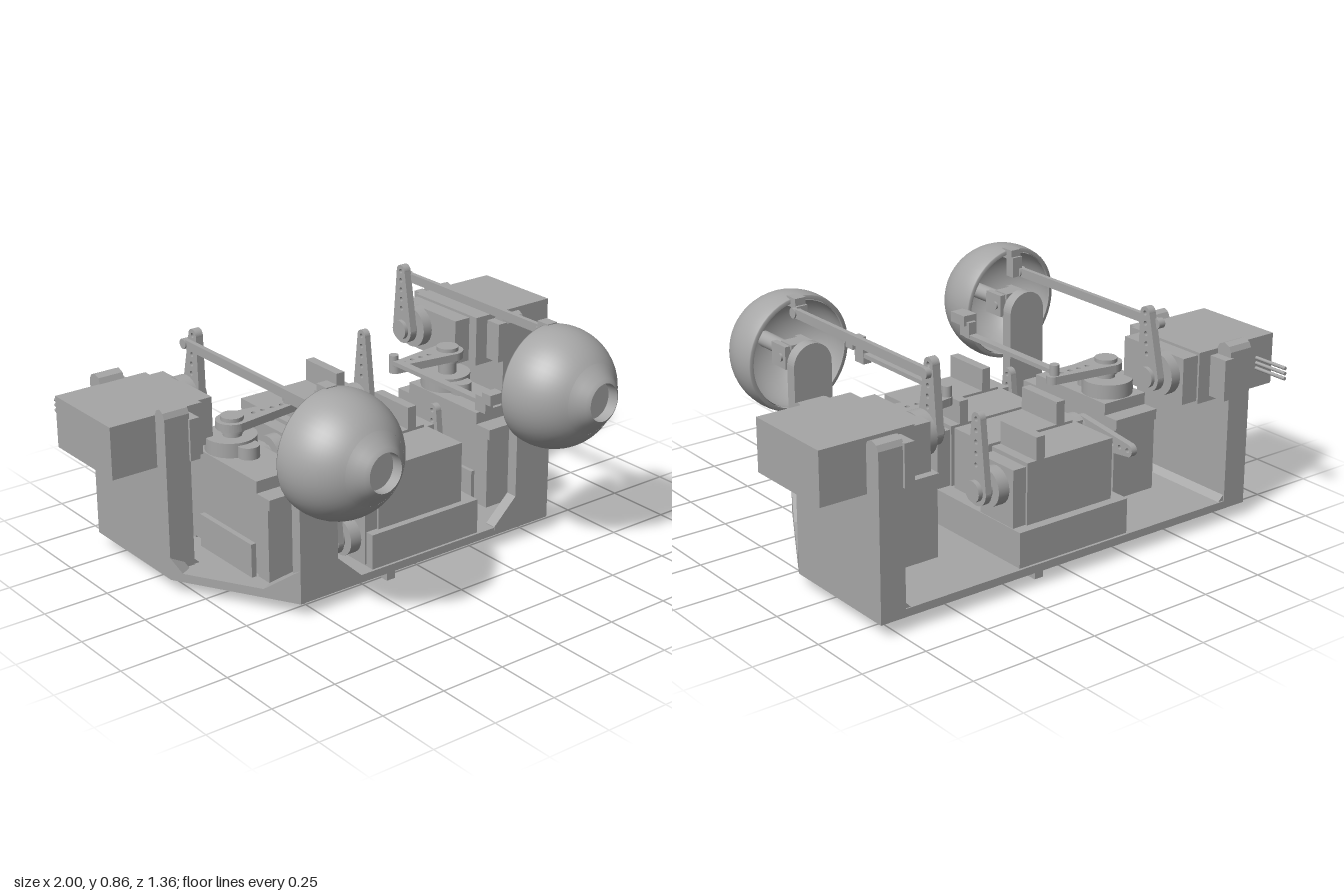
import * as THREE from 'three';

const grey = new THREE.MeshStandardMaterial({ color: 0xa6a6a6, side: THREE.DoubleSide });
grey.name = 'grey plastic';

export function createModel() {
  const root = new THREE.Group();
  root.name = 'eyeMechanism';

  const add = (name, geo, parent = root) => {
    const m = new THREE.Mesh(geo, grey);
    m.name = name;
    parent.add(m);
    return m;
  };
  // box given by its min and max corners
  const box = (name, x0, x1, y0, y1, z0, z1, parent) => {
    const m = add(name, new THREE.BoxGeometry(Math.abs(x1 - x0), y1 - y0, z1 - z0), parent);
    m.position.set((x0 + x1) / 2, (y0 + y1) / 2, (z0 + z1) / 2);
    return m;
  };
  // cylinder between two points
  const rod = (name, a, b, r, parent, sides = 24) => {
    const p = new THREE.Vector3(...a), q = new THREE.Vector3(...b);
    const m = add(name, new THREE.CylinderGeometry(r, r, p.distanceTo(q), sides), parent);
    m.position.copy(p).add(q).multiplyScalar(0.5);
    m.quaternion.setFromUnitVectors(new THREE.Vector3(0, 1, 0), q.sub(p).normalize());
    return m;
  };
  const poly = (pts) => new THREE.Shape(pts.map(([x, y]) => new THREE.Vector2(x, y)));
  // extrusion centred on its depth
  const extrude = (shape, depth) =>
    new THREE.ExtrudeGeometry(shape, { depth, bevelEnabled: false, curveSegments: 16 }).translate(0, 0, -depth / 2);

  // tapered servo horn: pivot at origin, tip along +y, thickness along z
  const horn = (name, length, r1, r2, depth = 0.03) => {
    const s = new THREE.Shape();
    s.absarc(0, 0, r1, Math.PI, Math.PI * 2);
    s.absarc(0, length, r2, 0, Math.PI);
    s.closePath();
    for (let i = 0; i < 5; i++) {
      const h = new THREE.Path();
      h.absarc(0, length * (0.36 + i * 0.16), 0.009, 0, Math.PI * 2, true);
      s.holes.push(h);
    }
    const g = new THREE.Group();
    g.name = name;
    add('hornPlate', extrude(s, depth), g);
    rod('hornHub', [0, 0, -0.03], [0, 0, 0.03], r1 * 0.7, g);
    root.add(g);
    return g;
  };

  // floor plate
  const floor = extrude(poly([[-0.82, 0.6], [0.82, 0.6], [0.82, 0.11], [0.57, -0.32], [-0.57, -0.32], [-0.82, 0.11]]), 0.03);
  add('floorPlate', floor.rotateX(-Math.PI / 2)).position.y = 0.067;

  for (const s of [-1, 1]) {
    const dy = s > 0 ? 0.03 : 0; // the two sides sit at slightly different heights
    // side wall with a notch between two rounded posts
    const wall = poly([[-0.6, 0.07], [-0.585, 0.053], [-0.11, 0.053], [-0.11, 0.66], [-0.12, 0.68], [-0.14, 0.69],
      [-0.16, 0.68], [-0.17, 0.66], [-0.17, 0.5], [-0.53, 0.5], [-0.53, 0.66], [-0.54, 0.68], [-0.565, 0.69], [-0.59, 0.68], [-0.6, 0.66]]);
    add('sideWall', extrude(wall, 0.1).rotateY(-Math.PI / 2)).position.x = s * 0.77;
    const fillet = poly([[0, 0.07], [0.05, 0.07], [0.05, 0.14], [0.035, 0.105]]);
    const f = add('wallFillet', extrude(fillet, 0.48));
    f.position.set(s * 0.685, 0, -0.355);
    f.scale.x = s;

    // low lip along the slanted edge
    const lip = add('slantLip', extrude(poly([[0, 0.055], [0.5, 0.055], [0.5, 0.14], [0.45, 0.085], [0.14, 0.085], [0, 0.18]]), 0.05)
      .translate(0, 0, -s * 0.025));
    lip.position.set(s * 0.57, 0, 0.32);
    lip.rotation.y = Math.atan2(0.43, s * 0.25);

    // eye post with flared foot
    const post = new THREE.Shape();
    post.moveTo(-0.08, 0.055);
    post.lineTo(0.18, 0.055);
    post.lineTo(0.18, 0.085);
    post.lineTo(0.08, 0.18);
    post.absarc(0, 0.63, 0.08, 0, Math.PI);
    post.closePath();
    const p = add('eyePost', extrude(post, 0.045));
    p.position.set(s * 0.49, 0, 0.298);
    p.scale.x = -s;

    // eye: hollow shell, bulged front and recessed pupil
    const eye = new THREE.Group();
    eye.name = 'eye';
    eye.position.set(s > 0 ? 0.477 : -0.495, 0.637, 0.435);
    eye.rotation.set(-0.03, 0.07, 0);
    root.add(eye);
    const outer = [[0.205, -0.05], [0.219, -0.05]];
    for (let i = 0; i <= 14; i++) {
      const a = -0.2 + i * (0.96 + 0.2) / 14;
      outer.push([0.225 * Math.cos(a), 0.225 * Math.sin(a)]);
    }
    const lathe = (name, pts) =>
      add(name, new THREE.LatheGeometry(pts.map(([x, y]) => new THREE.Vector2(x, y)), 48).rotateX(Math.PI / 2), eye);
    lathe('eyeShell', outer);
    lathe('iris', [[0.129, 0.184], [0.105, 0.205], [0.085, 0.227], [0.07, 0.237]]);
    lathe('pupilRim', [[0.07, 0.237], [0.07, 0.195]]);
    lathe('pupil', [[0.07, 0.195], [0, 0.195]]);
    const inner = [];
    for (let i = 0; i <= 14; i++) {
      const a = -0.24 + i * (Math.PI / 2 + 0.24) / 14;
      inner.push([0.208 * Math.cos(a), 0.192 * Math.sin(a)]);
    }
    lathe('eyeInside', inner);

    // universal joint holding the eye
    const cx = s * 0.49;
    box('jointStem', cx - 0.03, cx + 0.03, 0.605, 0.67, 0.31, 0.38);
    for (const k of [-1, 1]) {
      box('jointFork', cx + k * 0.05 - 0.012, cx + k * 0.05 + 0.012, 0.6, 0.685, 0.36, 0.45);
      box('jointYoke', cx - 0.04, cx + 0.04, 0.64 + k * 0.04 - 0.01, 0.64 + k * 0.04 + 0.01, 0.35, 0.42);
    }
    rod('jointPin', [cx - 0.07, 0.64, 0.39], [cx + 0.07, 0.64, 0.39], 0.015);
    rod('eyeStem', [cx, 0.64, 0.38], [cx, 0.64, 0.6], 0.03);

    // lugs on the back of the eye
    const ix = s > 0 ? 0.235 : -0.25;
    box('topLug', cx - 0.022, cx + 0.022, 0.825, 0.862, 0.345, 0.4);
    box('sideLug', ix - 0.03, ix + 0.03, 0.615, 0.655, s > 0 ? 0.355 : 0.32, 0.4);
    box('sideClevis', ix - 0.018, ix + 0.018, 0.57, 0.63, 0.305, 0.36);

    // outer tilt servo
    const y0 = 0.465 + dy, y1 = 0.66 + dy;
    box('tiltServoBody', s * 0.63, s * 1, y0, y1, -0.533, -0.168);
    box('tiltServoFlange', s * 0.685, s * 0.725, y0 + 0.02, y1 - 0.02, -0.61, -0.1);
    box('tiltServoCover', s * 0.56, s * 0.63, y0 + 0.01, y1 - 0.01, -0.525, -0.21);
    rod('tiltServoTurret', [s * 0.52, 0.575 + dy, -0.43], [s * 0.57, 0.575 + dy, -0.43], 0.08);
    rod('tiltServoShaft', [s * 0.47, 0.575 + dy, -0.43], [s * 0.53, 0.575 + dy, -0.43], 0.035);
    const tilt = horn('tiltHorn', 0.235, 0.055, 0.024);
    tilt.position.set(s * 0.49, 0.575 + dy, -0.43);
    tilt.rotation.set(0, Math.PI / 2, s > 0 ? -0.04 : 0.1);

    // tilt linkage: flat bar with eyelets
    const ly = s > 0 ? 0.812 : 0.772, lx = s * 0.512;
    box('tiltBar', lx - 0.009, lx + 0.009, ly - 0.017, ly + 0.017, -0.44, 0.345);
    for (const z of [-0.44, 0.345]) rod('tiltBarEyelet', [lx - 0.014, ly, z], [lx + 0.014, ly, z], 0.019);
    box('tiltClevis', cx - 0.022, cx + 0.022, ly - 0.015, 0.835, 0.335, 0.375);

    // upright pan servo beside the centre block
    box('panServoBody', s * 0.4, s * 0.595, 0.09, 0.445, -0.29, 0.105);
    box('panServoFlange', s * 0.4, s * 0.595, 0.36, 0.4, -0.355, 0.18);
    for (const [a, b] of [[0.105, 0.17], [-0.345, -0.29]]) box('panServoMount', s * 0.4, s * 0.595, 0.075, 0.36, a, b);
    for (const k of [0.385, 0.6]) box('panServoRail', s * k, s * (k + 0.02), 0.075, 0.21, -0.22, 0.1);
    rod('panServoTurret', [s * 0.497, 0.445, -0.19], [s * 0.497, 0.5, -0.19], 0.095);
    rod('panServoGear', [s * 0.49, 0.445, -0.09], [s * 0.49, 0.49, -0.09], 0.04);
    rod('panServoShaft', [s * 0.497, 0.49, -0.18], [s * 0.497, 0.57, -0.18], 0.035);
    const pan = horn('panHorn', 0.255, 0.06, 0.024);
    pan.position.set(s * 0.497, 0.545 + dy, -0.18);
    pan.rotation.set(-Math.PI / 2, 0, s * Math.PI / 2);
    rod('panPin', [ix, 0.53 + dy, -0.18], [ix, 0.6 + dy, -0.18], 0.018);
    box('panBar', ix - 0.016, ix + 0.016, 0.566 + dy, 0.582 + dy, -0.18, 0.335);
  }

  // centre tray
  box('centreTray', -0.25, 0.235, 0.07, 0.215, -0.59, 0.31);

  // row of four eyelid servos, facing alternate sides
  for (let i = 0; i < 4; i++) {
    const z = -0.457 + i * 0.2143, s = i % 2 ? -1 : 1;
    const gy = i < 2 ? 0.35 : 0.18;
    const off = -0.013;
    box('lidServoBody', off - s * 0.19, off + s * 0.19, 0.08, 0.445, z - 0.098, z + 0.098);
    box('lidServoFlange', off + s * 0.115, off + s * 0.152, 0, 0.53, z - 0.098, z + 0.098);
    box('lidServoCover', off + s * 0.19, off + s * 0.245, 0.09, 0.43, z - 0.09, z + 0.09);
    rod('lidServoTurret', [off + s * 0.2, gy, z], [off + s * 0.29, gy, z], 0.07);
    rod('lidServoShaft', [off + s * 0.28, gy, z], [off + s * 0.345, gy, z], 0.035);
    const h = horn('lidHorn', 0.26, 0.055, 0.024, 0.025);
    h.position.set(off + s * 0.322, gy, z);
    h.rotation.set(0, Math.PI / 2, i === 1 ? -Math.PI / 2 : 0);
    if (i === 1) h.rotation.set(-Math.PI / 2, Math.PI / 2, 0, 'XYZ');
  }

  // servo cable
  for (const y of [0.54, 0.56, 0.58]) rod('cable', [-0.92, y, -0.53], [-0.92, y, -0.68], 0.007, root, 8);

  return root;
}
